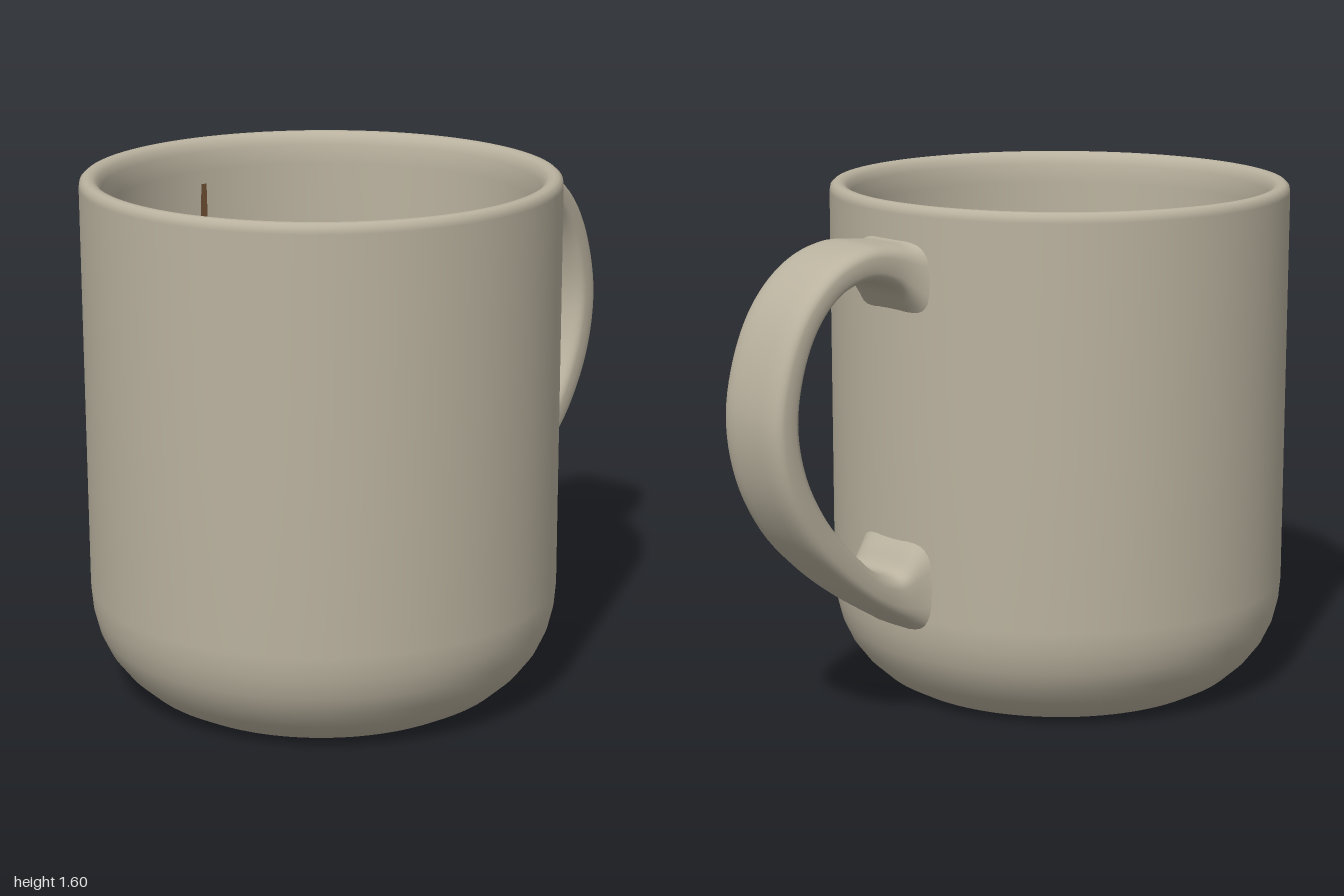
import * as THREE from 'three';

const AXIS_X = -0.278; // centre of the cup body
const glaze = new THREE.MeshStandardMaterial({ color: 0xbab29f });
glaze.name = 'stoneGlaze';
const coffeeMat = new THREE.MeshStandardMaterial({ color: 0x260d0d });
coffeeMat.name = 'darkCoffee';
const stainMat = new THREE.MeshStandardMaterial({ color: 0x6e4f33, side: THREE.DoubleSide });
stainMat.name = 'brownStain';

const v2 = (pts) => pts.map(([x, y]) => new THREE.Vector2(x, y));

function addMesh(parent, name, geometry, material) {
  const mesh = new THREE.Mesh(geometry, material);
  mesh.name = name;
  parent.add(mesh);
  return mesh;
}

function indexed(positions, indices) {
  const g = new THREE.BufferGeometry();
  g.setAttribute('position', new THREE.Float32BufferAttribute(positions, 3));
  g.setIndex(indices);
  g.computeVertexNormals();
  return g;
}

// Handle: rounded bar swept between an outer and an inner outline
function handleGeometry() {
  const curve = (pts) => new THREE.CatmullRomCurve3(pts.map(([x, y]) => new THREE.Vector3(x, y, 0)));
  const outer = curve([[0.40, 1.51], [0.45, 1.49], [0.52, 1.495], [0.62, 1.50], [0.75, 1.46], [0.87, 1.36],
    [0.95, 1.22], [0.995, 1.02], [0.965, 0.82], [0.87, 0.64], [0.74, 0.505], [0.62, 0.41], [0.53, 0.35],
    [0.45, 0.30], [0.40, 0.27]]);
  const inner = curve([[0.40, 1.22], [0.45, 1.29], [0.51, 1.355], [0.62, 1.39], [0.72, 1.365], [0.80, 1.295],
    [0.86, 1.18], [0.89, 1.02], [0.865, 0.87], [0.79, 0.72], [0.67, 0.58], [0.58, 0.505], [0.51, 0.49],
    [0.46, 0.55], [0.40, 0.62]]);
  const steps = 84, sides = 32, pos = [], idx = [];
  const bulge = (v, p) => Math.sign(v) * Math.abs(v) ** p;
  for (let i = 0; i <= steps; i++) {
    const t = i / steps;
    const a = outer.getPoint(t), b = inner.getPoint(t);
    const mid = a.clone().add(b).multiplyScalar(0.5);
    const half = a.sub(b).multiplyScalar(0.5);
    const flare = Math.max(0, 1 - Math.min(t, 1 - t) / 0.17);
    const width = 0.131 + 0.045 * flare * flare; // widens where it meets the cup
    for (let j = 0; j < sides; j++) {
      const ang = (j / sides) * Math.PI * 2;
      const n = bulge(Math.sin(ang), 0.6);
      pos.push(mid.x + half.x * n, mid.y + half.y * n, width * bulge(Math.cos(ang), 0.5));
      if (i === steps) continue;
      const k = (j + 1) % sides, r = i * sides, s = r + sides;
      idx.push(r + j, s + j, r + k, s + j, s + k, r + k);
    }
  }
  return indexed(pos, idx);
}

// Drip on the inner wall: rows of [height, start angle, end angle]
function dripGeometry(rows) {
  const radius = 0.645, cols = 4, pos = [], idx = [];
  rows.forEach(([y, a0, a1], i) => {
    for (let j = 0; j <= cols; j++) {
      const a = a0 + ((a1 - a0) * j) / cols;
      pos.push(radius * Math.sin(a), y, radius * Math.cos(a));
      if (i === rows.length - 1 || j === cols) continue;
      const p = i * (cols + 1) + j, q = p + cols + 1;
      idx.push(p, p + 1, q, p + 1, q + 1, q);
    }
  });
  return indexed(pos, idx);
}

export function createModel() {
  const model = new THREE.Group();
  model.name = 'mug';
  const cup = new THREE.Group();
  cup.name = 'cup';
  cup.position.x = AXIS_X;
  model.add(cup);

  // Outer wall, rounded rim and inner wall in one profile
  addMesh(cup, 'cupWall', new THREE.LatheGeometry(v2([
    [0.52, 0], [0.575, 0.03], [0.63, 0.08], [0.672, 0.135], [0.7, 0.195], [0.716, 0.26], [0.722, 0.33],
    [0.722, 0.9], [0.722, 1.57], [0.719, 1.588], [0.708, 1.598], [0.695, 1.6], [0.68, 1.596],
    [0.667, 1.584], [0.658, 1.56], [0.65, 1.5], [0.65, 0.9], [0.645, 0.3], [0.55, 0.1], [0, 0.08],
  ]), 96), glaze);

  // Flat underside
  addMesh(cup, 'base', new THREE.CircleGeometry(0.52, 96).rotateX(Math.PI / 2), glaze);

  // Drink and the stain left around its edge
  const coffee = addMesh(cup, 'coffee', new THREE.CircleGeometry(0.648, 96).rotateX(-Math.PI / 2), coffeeMat);
  coffee.position.y = 0.94;
  addMesh(cup, 'stainRing', new THREE.LatheGeometry(v2([[0.639, 0.941], [0.649, 0.968]]), 96), stainMat);
  addMesh(cup, 'backDrip', dripGeometry([
    [1.46, 2.885, 2.915], [1.3, 2.88, 2.925], [1.15, 2.875, 2.93], [0.94, 2.84, 2.96],
  ]), stainMat);
  addMesh(cup, 'frontDrip', dripGeometry([
    [1.27, 0.37, 0.405], [1.2, 0.36, 0.42], [1.08, 0.35, 0.43], [1.01, 0.345, 0.445], [0.985, 0.34, 0.51], [0.94, 0.32, 0.54],
  ]), stainMat);

  addMesh(model, 'handle', handleGeometry(), glaze);
  return model;
}
